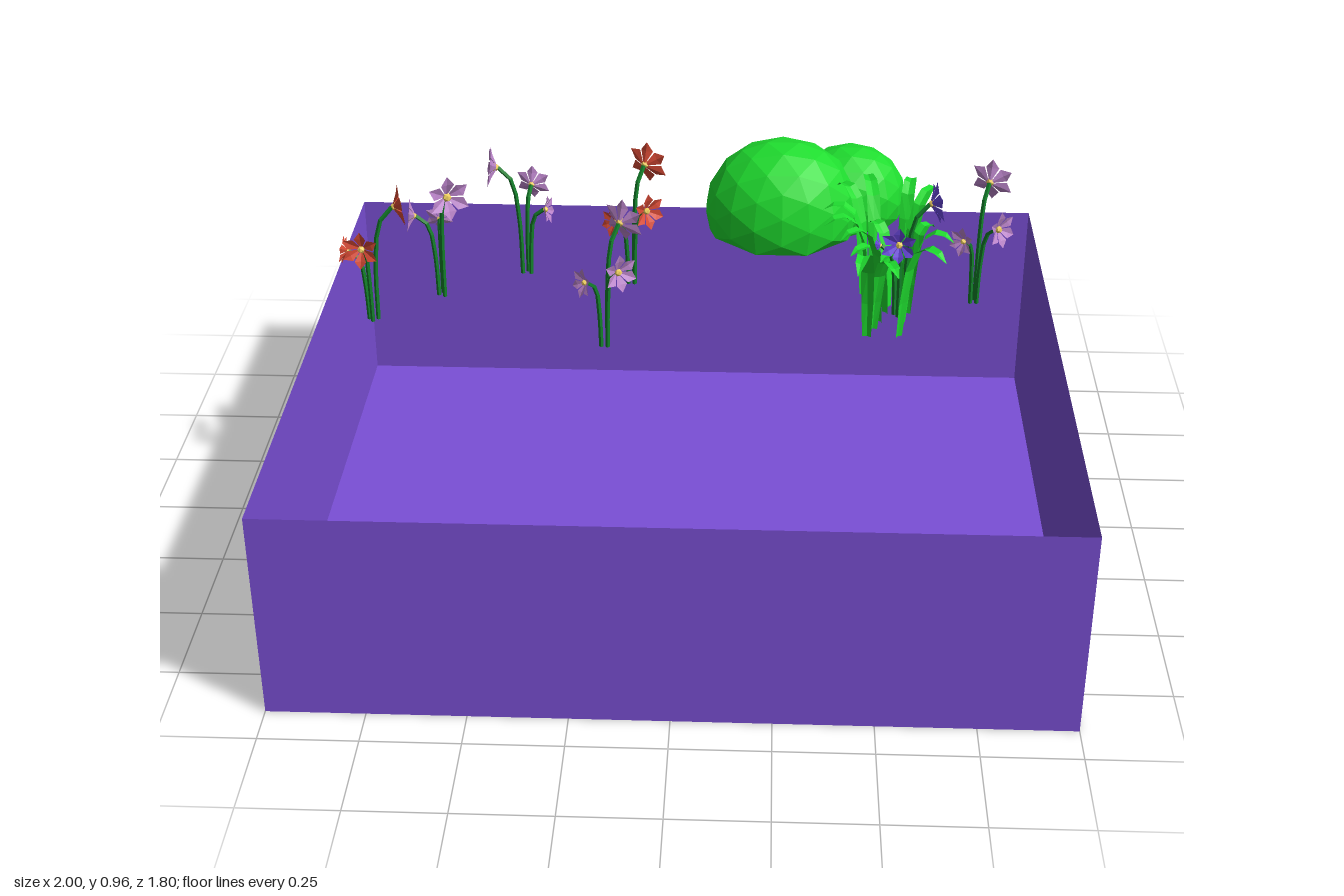
import * as THREE from 'three';
import { mergeGeometries } from 'three/addons/utils/BufferGeometryUtils.js';

const RIM = 0.57; // height of the planter rim, where every plant starts

const paint = (color) =>
  new THREE.MeshStandardMaterial({ color, flatShading: true, side: THREE.DoubleSide });

const violet = paint(0x7a4fd6);
const leafGreen = paint(0x1fdd2f);
const stemGreen = paint(0x13802a);
const yellow = paint(0xf0d060);
const red = paint(0xd84a35);
const lilac = paint(0xbd86cc);
const blueViolet = paint(0x6a48e0);

function named(name, geometry, material) {
  const mesh = new THREE.Mesh(geometry, material);
  mesh.name = name;
  return mesh;
}

// Open-topped box: a box without its +y face
function planterBox() {
  const geo = new THREE.BoxGeometry(2, RIM, 1.72);
  const index = Array.from(geo.index.array);
  index.splice(12, 6);
  geo.setIndex(index);
  geo.clearGroups();
  geo.translate(0, RIM / 2, 0.035);
  return named('planterBox', geo, violet);
}

// Faceted ball with its underside flattened at rim height
function bush(x, y, z, rx, ry, rz) {
  const geo = new THREE.IcosahedronGeometry(1, 2);
  geo.scale(rx, ry, rz);
  geo.translate(x, y, z);
  const p = geo.attributes.position;
  for (let i = 0; i < p.count; i++) p.setY(i, Math.max(p.getY(i), RIM));
  geo.computeVertexNormals();
  return named('bush', geo, leafGreen);
}

// Six cupped, pointed petals around +z
function petals(r) {
  const parts = [];
  for (let i = 0; i < 6; i++) {
    const w = r * 0.3;
    const geo = new THREE.BufferGeometry();
    geo.setAttribute('position', new THREE.Float32BufferAttribute([
      0, 0, 0, w, r * 0.6, r * 0.38, 0, r * 0.6, r * 0.28,
      -w, r * 0.6, r * 0.38, 0, r, r * 0.4,
    ], 3));
    geo.setIndex([0, 1, 2, 0, 2, 3, 2, 1, 4, 2, 4, 3]);
    geo.rotateZ((i * Math.PI) / 3);
    parts.push(geo);
  }
  const all = mergeGeometries(parts);
  all.computeVertexNormals();
  return all;
}

// Three stems: tall, middle and short, each with an outward-facing blossom
const STEMS = [
  { turn: 0, reach: 0.07, top: 0.9, r: 0.062 },
  { turn: 110, reach: 0.062, top: 0.815, r: 0.052 },
  { turn: 200, reach: 0.055, top: 0.775, r: 0.042 },
];

function flowerPlant(x, z, angle, material) {
  const plant = new THREE.Group();
  plant.name = 'flowerPlant';
  for (const { turn, reach, top, r } of STEMS) {
    const a = THREE.MathUtils.degToRad(angle + turn);
    const at = (d, y) => new THREE.Vector3(Math.cos(a) * d, y, Math.sin(a) * d);
    const curve = new THREE.CatmullRomCurve3([
      at(0.012, RIM), at(0.016, RIM + (top - RIM) * 0.5),
      at(reach * 0.5, RIM + (top - RIM) * 0.88), at(reach, top),
    ]);
    plant.add(named('flowerStem', new THREE.TubeGeometry(curve, 7, 0.006, 4), stemGreen));

    const blossom = new THREE.Group();
    blossom.name = 'blossom';
    blossom.position.copy(at(reach, top));
    blossom.lookAt(at(reach + 1, top + 0.12));
    const heart = new THREE.IcosahedronGeometry(r * 0.2, 0);
    heart.translate(0, 0, r * 0.14);
    blossom.add(named('petals', petals(r), material), named('flowerCentre', heart, yellow));
    plant.add(blossom);
  }
  plant.position.set(x, 0, z);
  return plant;
}

// Grass blade: ridged strip that rises, then arches over to a pointed tip
function blade(x0, z0, x1, z1, top) {
  const out = new THREE.Vector2(x1 - x0, z1 - z0);
  const side = new THREE.Vector2(-out.y, out.x).normalize();
  const h = top - RIM;
  // fraction outward, fraction of height, half width
  const sections = [
    [-0.3, 0, 0.012], [-0.22, 0.35, 0.016], [-0.08, 0.7, 0.018],
    [0.15, 0.92, 0.018], [0.45, 1, 0.017], [0.75, 0.99, 0.014], [1, 0.92, 0.001],
  ];
  const pos = [], idx = [];
  sections.forEach(([t, v, w], i) => {
    const cx = x0 + out.x * t, cz = z0 + out.y * t, y = RIM + h * v;
    const n = out.clone().normalize().multiplyScalar(w * 0.4 * (1 - v));
    pos.push(cx - side.x * w, y, cz - side.y * w);
    pos.push(cx - n.x, y - w * 0.3 * v, cz - n.y);
    pos.push(cx + side.x * w, y, cz + side.y * w);
    if (i === 0) return;
    const b = i * 3, a = b - 3;
    for (let k = 0; k < 2; k++) {
      idx.push(a + k, a + k + 1, b + k, b + k, a + k + 1, b + k + 1);
    }
  });
  const geo = new THREE.BufferGeometry();
  geo.setAttribute('position', new THREE.Float32BufferAttribute(pos, 3));
  geo.setIndex(idx);
  geo.computeVertexNormals();
  return named('grassBlade', geo, leafGreen);
}

// Bend point x, z; tip x, z; height
const BLADES = [
  [0.51, -0.33, 0.49, -0.48, 0.87], [0.47, -0.32, 0.41, -0.41, 0.87],
  [0.6, -0.35, 0.62, -0.45, 0.87], [0.62, -0.28, 0.69, -0.4, 0.87],
  [0.47, -0.27, 0.37, -0.29, 0.85], [0.47, -0.2, 0.37, -0.17, 0.86],
  [0.54, -0.24, 0.5, -0.31, 0.8], [0.5, -0.11, 0.41, -0.06, 0.87],
  [0.48, 0.0, 0.45, 0.14, 0.87], [0.52, -0.05, 0.56, 0.06, 0.82],
  [0.6, -0.02, 0.68, 0.06, 0.87], [0.62, -0.11, 0.71, -0.08, 0.86],
  [0.62, -0.2, 0.67, -0.25, 0.82], [0.52, -0.16, 0.44, -0.1, 0.8],
  [0.57, -0.16, 0.52, -0.1, 0.78],
];

// x, z, facing of the tallest blossom in degrees (0 = +x, 90 = +z), colour
const FLOWERS = [
  [-0.85, -0.09, -15, red],
  [-0.68, -0.24, 62, lilac],
  [-0.46, -0.38, 172, lilac],
  [-0.16, -0.335, -62, red],
  [-0.21, 0.03, -58, lilac],
  [0.58, -0.17, -10, blueViolet],
  [0.79, -0.255, -66, lilac],
];

export function createModel() {
  const model = new THREE.Group();
  model.name = 'flowerPlanter';
  model.add(planterBox());
  model.add(bush(0.26, 0.65, -0.67, 0.225, 0.21, 0.18));
  model.add(bush(0.46, 0.65, -0.765, 0.165, 0.155, 0.138));

  const grass = new THREE.Group();
  grass.name = 'grassClump';
  for (const b of BLADES) grass.add(blade(...b));
  model.add(grass);

  for (const f of FLOWERS) model.add(flowerPlant(...f));
  return model;
}
